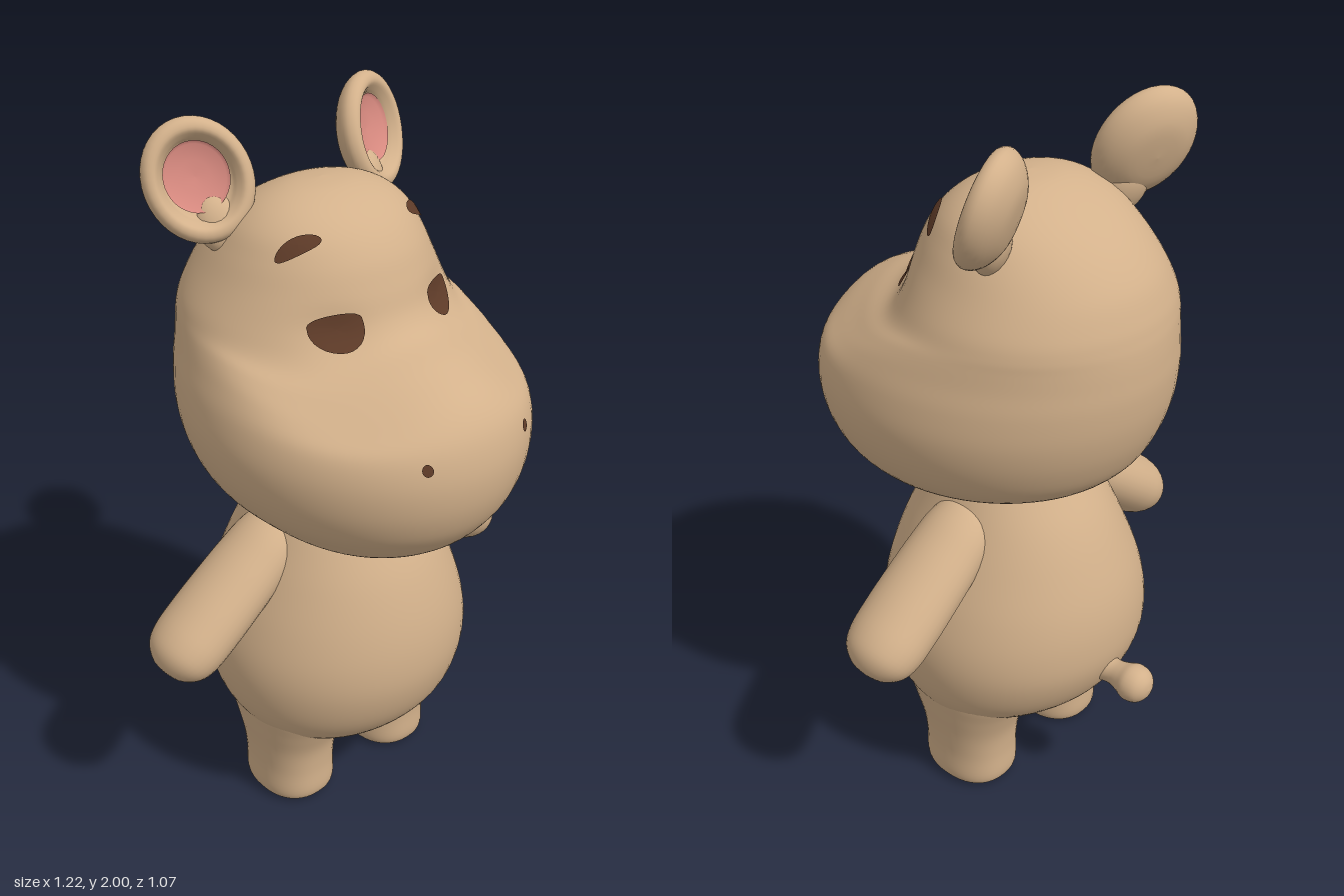
import * as THREE from 'three';

const skin = new THREE.MeshStandardMaterial({ color: 0xd3b18b });
skin.name = 'tan skin';
const pink = new THREE.MeshStandardMaterial({ color: 0xd88a80 });
pink.name = 'ear pink';
const brown = new THREE.MeshStandardMaterial({ color: 0x5e3b28, side: THREE.DoubleSide });
brown.name = 'dark brown';

function part(name, geometry, material = skin) {
  const mesh = new THREE.Mesh(geometry, material);
  mesh.name = name;
  return mesh;
}

// Smooth closed skin through oval sections [y, half width, front z, back z]
function loft(sections, rings, sides, power = 2, warp = null) {
  const widths = new THREE.SplineCurve(sections.map(s => new THREE.Vector2(s[0], s[1])));
  const depths = new THREE.SplineCurve(sections.map(s => new THREE.Vector2(s[2], s[3])));
  const round = v => Math.sign(v) * Math.abs(v) ** (2 / power);
  const positions = [], index = [];
  const p = new THREE.Vector3();
  for (let j = 0; j <= rings; j++) {
    const w = widths.getPoint(j / rings), d = depths.getPoint(j / rings);
    for (let i = 0; i < sides; i++) {
      const a = (i / sides) * Math.PI * 2;
      p.set(w.y * round(Math.sin(a)), w.x, (d.x + d.y) / 2 + ((d.x - d.y) / 2) * round(Math.cos(a)));
      if (warp) warp(p, Math.max(0, Math.cos(a)));
      positions.push(p.x, p.y, p.z);
      if (j < rings) {
        const k = (i + 1) % sides, lo = j * sides, hi = lo + sides;
        index.push(lo + i, lo + k, hi + i, lo + k, hi + k, hi + i);
      }
    }
  }
  const g = new THREE.BufferGeometry();
  g.setAttribute('position', new THREE.Float32BufferAttribute(positions, 3));
  g.setIndex(index);
  g.computeVertexNormals();
  return g;
}

// Thin painted patch laid on a surface; outline(angle) gives its rim in the projection plane
function patch(target, outline, cx, cy, fromTop) {
  const ray = new THREE.Raycaster();
  const dir = fromTop ? new THREE.Vector3(0, -1, 0) : new THREE.Vector3(0, 0, -1);
  const g = new THREE.RingGeometry(0, 1, 28, 4);
  const pos = g.attributes.position;
  for (let i = 0; i < pos.count; i++) {
    const r = Math.hypot(pos.getX(i), pos.getY(i));
    const [u, v] = outline(Math.atan2(pos.getY(i), pos.getX(i)));
    const x = cx + u * r, y = cy + v * r;
    ray.set(fromTop ? new THREE.Vector3(x, 3, y) : new THREE.Vector3(x, y, 3), dir);
    const hit = ray.intersectObject(target)[0];
    const q = hit.point.addScaledVector(hit.face.normal, 0.005);
    pos.setXYZ(i, q.x, q.y, q.z);
  }
  g.computeVertexNormals();
  return g;
}

const profile = list => list.map(([x, y]) => new THREE.Vector2(x, y));

function makeEar(s) {
  const ear = new THREE.Group();
  ear.name = s > 0 ? 'leftEar' : 'rightEar';
  // Cupped shell with a thick rolled rim
  const rim = new THREE.SplineCurve(profile([
    [0, -0.05], [0.07, -0.043], [0.118, -0.015], [0.137, 0.02], [0.128, 0.045],
    [0.108, 0.05], [0.092, 0.032], [0.078, 0.012], [0.04, 0.002], [0, 0],
  ]));
  const shell = new THREE.LatheGeometry(rim.getPoints(36), 40);
  shell.rotateX(Math.PI / 2).scale(1, 1.14, 1);
  ear.add(part('earShell', shell));
  // Pink lining
  const lining = new THREE.LatheGeometry(profile([
    [0.086, 0.026], [0.078, 0.018], [0.04, 0.008], [0, 0.006],
  ]), 36);
  lining.rotateX(Math.PI / 2).scale(0.96, 1.02, 1).translate(0, 0.009, 0);
  ear.add(part('earLining', lining, pink));
  // Root joining the head
  const root = new THREE.SphereGeometry(0.065, 24, 16);
  root.scale(0.95, 1.2, 0.65).translate(0, -0.12, -0.005);
  ear.add(part('earRoot', root));
  ear.rotation.set(-0.3, s * 0.4, -s * 0.4, 'YXZ');
  ear.position.set(s * 0.275, 1.855, -0.225);
  return ear;
}

export function createModel() {
  const model = new THREE.Group();
  model.name = 'hippo';

  // Head: broad muzzle below, narrow forehead above
  const bump = (v, c, w) => Math.exp(-(((v - c) / w) ** 2));
  const head = part('head', loft([
    [0.945, 0, 0.24, 0.24], [0.952, 0.11, 0.32, 0.14], [0.97, 0.2, 0.375, 0.03],
    [1.0, 0.28, 0.425, -0.16], [1.04, 0.335, 0.465, -0.31], [1.1, 0.388, 0.505, -0.39],
    [1.18, 0.425, 0.53, -0.435], [1.27, 0.44, 0.533, -0.462], [1.36, 0.43, 0.508, -0.473],
    [1.43, 0.408, 0.45, -0.472], [1.48, 0.388, 0.36, -0.468], [1.515, 0.37, 0.268, -0.462],
    [1.56, 0.35, 0.222, -0.45], [1.63, 0.312, 0.195, -0.42], [1.7, 0.275, 0.165, -0.365],
    [1.76, 0.235, 0.12, -0.295], [1.805, 0.175, 0.06, -0.22], [1.832, 0.095, -0.01, -0.15],
    [1.84, 0, -0.08, -0.08],
  ], 90, 72, 2, (p, front) => {
    // Muzzle line arches down at the cheeks; shallow eye sockets
    const socket = bump(Math.abs(p.x), 0.18, 0.07) * bump(p.y, 1.56, 0.05);
    p.z -= 0.015 * socket * front;
    p.y -= 1.2 * p.x * p.x * front * front * bump(p.y, 1.46, 0.09);
  }));
  model.add(head);

  // Pear-shaped body
  model.add(part('body', loft([
    [0.2, 0, -0.03, -0.03], [0.21, 0.12, 0.08, -0.14], [0.235, 0.22, 0.16, -0.2],
    [0.29, 0.3, 0.235, -0.275], [0.37, 0.352, 0.295, -0.355], [0.47, 0.378, 0.328, -0.4],
    [0.57, 0.378, 0.333, -0.407], [0.68, 0.35, 0.316, -0.39], [0.8, 0.302, 0.278, -0.348],
    [0.9, 0.258, 0.228, -0.3], [1.0, 0.215, 0.165, -0.235], [1.08, 0.18, 0.12, -0.19],
  ], 60, 64)));

  // Tail with a rounded tip
  const tail = new THREE.LatheGeometry(new THREE.SplineCurve(profile([
    [0.045, 0], [0.036, 0.05], [0.043, 0.085], [0.054, 0.115], [0.048, 0.148], [0.026, 0.168], [0, 0.174],
  ])).getPoints(24), 28);
  tail.rotateX(-Math.PI / 2).translate(0, 0.45, -0.358);
  model.add(part('tail', tail));

  for (const s of [1, -1]) {
    const side = s > 0 ? 'left' : 'right';
    model.add(makeEar(s));

    // Arm hanging outward, wider at the hand
    const arm = new THREE.LatheGeometry(new THREE.SplineCurve(profile([
      [0, -0.09], [0.04, -0.082], [0.075, -0.05], [0.09, 0], [0.093, 0.08],
      [0.092, 0.18], [0.089, 0.28], [0.082, 0.37], [0.06, 0.43], [0, 0.46],
    ])).getPoints(40), 32);
    arm.scale(1, 1, 1.24).rotateZ(s * 0.927).translate(s * 0.52, 0.66, -0.045);
    model.add(part(side + 'Arm', arm));

    // Stubby leg with a flat, rounded-edge foot
    const leg = loft([
      [0.008, 0, -0.033, -0.033], [0.008, 0.08, 0.06, -0.125], [0.015, 0.103, 0.09, -0.155],
      [0.045, 0.113, 0.103, -0.168], [0.12, 0.113, 0.103, -0.168], [0.2, 0.121, 0.112, -0.176],
      [0.28, 0.135, 0.14, -0.2], [0.36, 0.145, 0.17, -0.23], [0.42, 0.12, 0.15, -0.22],
    ], 40, 40, 2.3);
    leg.translate(s * 0.183, 0, 0);
    model.add(part(side + 'Leg', leg));

    // Sleepy eye: flattened on top, drooping outward
    model.add(part(side + 'Eye', patch(head, a => {
      const u = 0.061 * Math.cos(a), v = Math.sin(a);
      const y = v > 0 ? 0.036 * Math.sqrt(v) : 0.05 * v;
      return [s * u, y - 0.12 * u];
    }, s * 0.167, 1.56, false), brown));

    // Brow
    model.add(part(side + 'Brow', patch(head, a => {
      const u = 0.056 * Math.cos(a), v = 0.014 * Math.sin(a);
      return [s * (u * 0.85 + v * 0.53), -u * 0.53 + v * 0.85];
    }, s * 0.188, 0.053, true), brown));

    // Nostril
    model.add(part(side + 'Nostril', patch(head,
      a => [0.013 * Math.cos(a), 0.015 * Math.sin(a)], s * 0.165, 1.31, false), brown));
  }
  return model;
}
